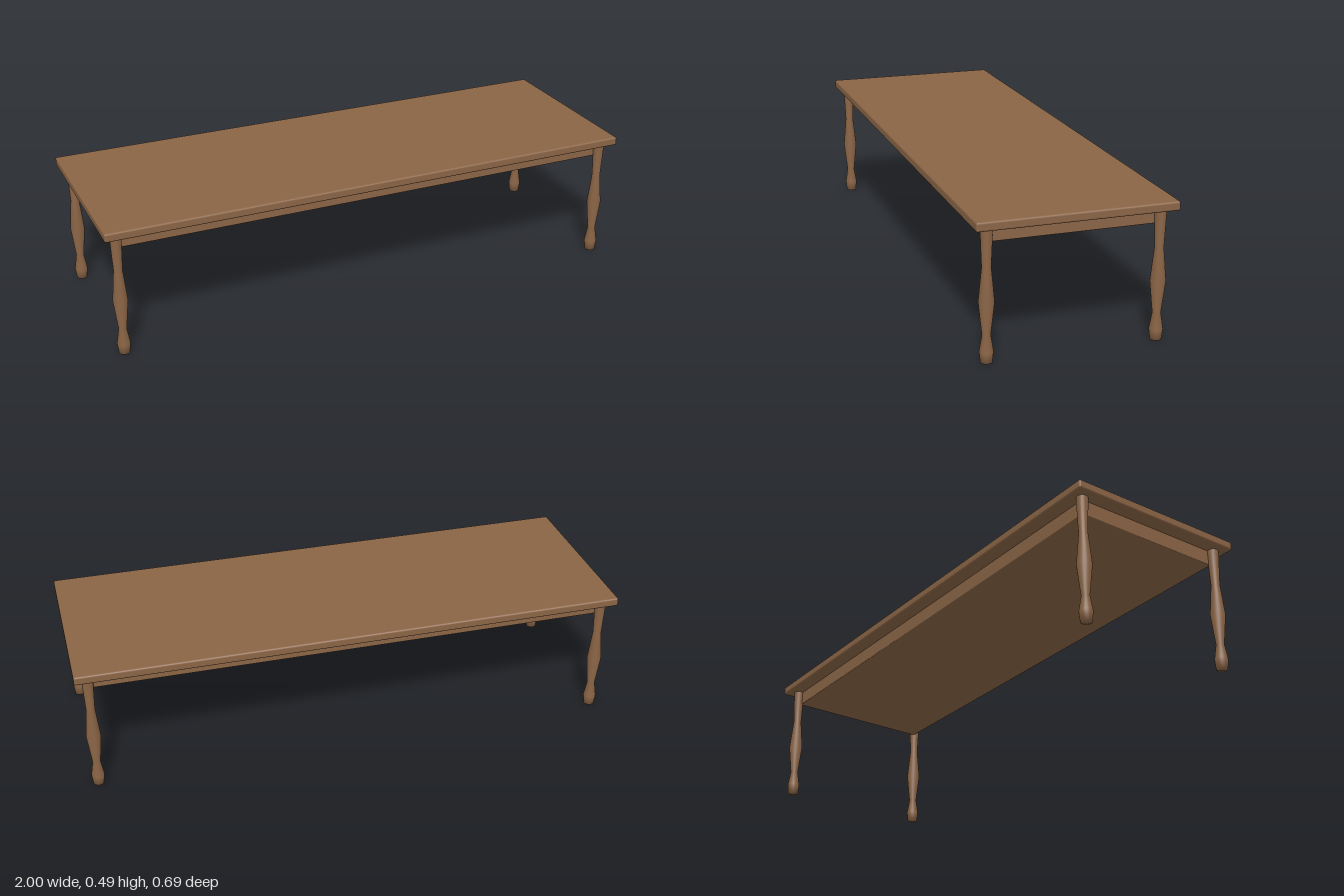
import * as THREE from 'three';
import { RoundedBoxGeometry } from 'three/addons/geometries/RoundedBoxGeometry.js';

export function createModel() {
  const table = new THREE.Group();
  table.name = 'table';
  const wood = new THREE.MeshStandardMaterial({ color: 0x8b6546 });
  wood.name = 'brown wood';

  const add = (name, geometry, x, y, z) => {
    const mesh = new THREE.Mesh(geometry, wood);
    mesh.name = name;
    mesh.position.set(x, y, z);
    table.add(mesh);
  };

  // Table top with softened edges
  add('tableTop', new RoundedBoxGeometry(2, 0.032, 0.686, 3, 0.007), 0, 0.472, 0);

  // Solid apron block under the top, slightly eased at its bottom edge
  add('apron', new RoundedBoxGeometry(1.89, 0.06, 0.576, 2, 0.003), 0, 0.432, 0);

  // Turned legs: radius and height from the foot up
  const profile = [
    [0, 0], [0.0195, 0], [0.0235, 0.037], [0.0143, 0.094],
    [0.0265, 0.206], [0.0155, 0.322], [0.0207, 0.458],
  ].map(([r, y]) => new THREE.Vector2(r, y));
  const legGeometry = new THREE.LatheGeometry(profile, 24);
  for (const [side, x] of [['Left', 0.952], ['Right', -0.952]]) {
    add('front' + side + 'Leg', legGeometry, x, 0, 0.295);
    add('back' + side + 'Leg', legGeometry, x, 0, -0.295);
  }

  return table;
}
